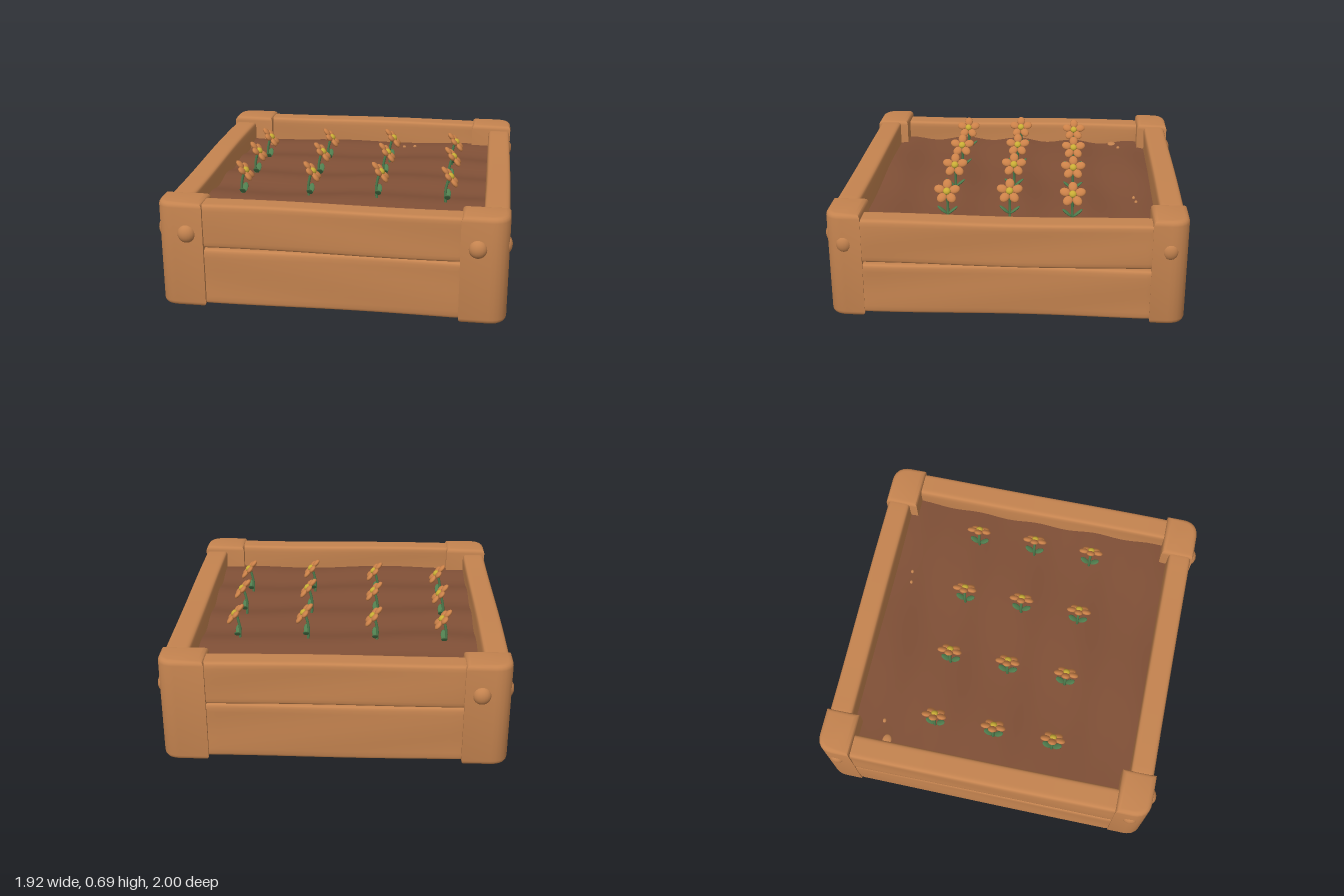
import * as THREE from 'three';
import { mergeVertices, toCreasedNormals } from 'three/addons/utils/BufferGeometryUtils.js';

const mat = (name, color) => Object.assign(new THREE.MeshStandardMaterial({ color }), { name });

// Box whose edges are rounded by radius r and whose faces wander slightly, like hewn timber
function softBlock(w, h, d, r, wobble, seed) {
  let geo = new THREE.BoxGeometry(2, 2, 2, 18, 12, 18);
  geo.deleteAttribute('uv');
  geo.deleteAttribute('normal');
  geo = mergeVertices(geo);
  const half = new THREE.Vector3(w / 2, h / 2, d / 2);
  const inner = half.clone().subScalar(r);
  const p = new THREE.Vector3(), core = new THREE.Vector3();
  const pos = geo.attributes.position;
  for (let i = 0; i < pos.count; i++) {
    p.fromBufferAttribute(pos, i);
    // crowd the grid lines towards the edges
    p.set(Math.sin(p.x * Math.PI / 2), Math.sin(p.y * Math.PI / 2), Math.sin(p.z * Math.PI / 2)).multiply(half);
    core.copy(p).clamp(inner.clone().negate(), inner);
    p.sub(core).setLength(r).add(core);
    const along = w > d ? p.x : p.z;
    p.y += wobble * Math.sin(along * 4.3 + seed);
    if (w > d) p.z += wobble * 0.6 * Math.sin(along * 3 + p.y * 22 + seed);
    else p.x += wobble * 0.6 * Math.sin(along * 3 + p.y * 22 + seed);
    pos.setXYZ(i, p.x, p.y, p.z);
  }
  geo.computeVertexNormals();
  return geo;
}

// Corner post: rounded outline with a broad outer corner, bevelled at both ends
function postGeometry(sx, sz) {
  const b = 0.028;
  const x0 = 0.69 + b, x1 = 0.945 - b, z0 = 0.775 + b, z1 = 0.97 - b, r = 0.07;
  const P = (x, z) => [sx * x, -sz * z];
  const s = new THREE.Shape();
  s.moveTo(...P(x0, z0));
  s.lineTo(...P(x1, z0));
  s.lineTo(...P(x1, z1 - r));
  s.quadraticCurveTo(...P(x1, z1), ...P(x1 - r, z1));
  s.lineTo(...P(x0, z1));
  s.closePath();
  const geo = new THREE.ExtrudeGeometry(s, {
    depth: 0.605 - 2 * b, bevelSize: b, bevelThickness: b, bevelSegments: 4, curveSegments: 6,
  });
  geo.rotateX(-Math.PI / 2).translate(0, b, 0);
  return toCreasedNormals(geo, 0.9);
}

// Bed of earth with shallow ridges across the top and underside
const soilTop = (x, z) => 0.45 + 0.012 * Math.cos(z * 17 + Math.sin(x * 3) * 0.6) + 0.006 * Math.sin(x * 7 + z * 4);
function soilGeometry() {
  let geo = new THREE.BoxGeometry(1.68, 1, 1.7, 24, 1, 40);
  geo.deleteAttribute('uv');
  geo.deleteAttribute('normal');
  geo = mergeVertices(geo);
  const pos = geo.attributes.position;
  for (let i = 0; i < pos.count; i++) {
    const x = pos.getX(i), z = pos.getZ(i);
    const y = pos.getY(i) > 0 ? soilTop(x, z) : 0.026 - 0.01 * Math.cos(z * 15.7) - 0.003 * Math.sin(x * 8);
    pos.setY(i, y);
  }
  return toCreasedNormals(geo, 0.8);
}

export function createModel() {
  const model = new THREE.Group();
  model.name = 'planterBed';
  const wood = mat('wood', 0xc4834f);
  const earth = mat('soil', 0x7f4f36);
  const petalMat = mat('petal', 0xcb8148);
  const yellow = mat('flowerCentre', 0xc9ad35);
  const green = mat('leaf', 0x4f7d4e);

  const add = (parent, name, geo, material, x = 0, y = 0, z = 0) => {
    const m = new THREE.Mesh(geo, material);
    m.name = name;
    m.position.set(x, y, z);
    parent.add(m);
    return m;
  };

  add(model, 'soil', soilGeometry(), earth);

  // Two stacked boards on each of the four sides
  for (const s of [-1, 1]) {
    add(model, 'lowerLongBoard', softBlock(1.44, 0.325, 0.135, 0.024, 0.003, s), wood, 0, 0.18, s * 0.887);
    add(model, 'upperLongBoard', softBlock(1.44, 0.25, 0.135, 0.024, 0.003, s + 2), wood, 0, 0.469, s * 0.887);
    add(model, 'lowerSideBoard', softBlock(0.14, 0.29, 1.6, 0.024, 0.004, s + 1), wood, s * 0.872, 0.172, 0);
    add(model, 'upperSideBoard', softBlock(0.14, 0.25, 1.6, 0.024, 0.004, s + 4), wood, s * 0.872, 0.443, 0);
  }

  // Corner posts with domed pegs (one back peg is missing)
  const dome = new THREE.SphereGeometry(1, 18, 12);
  for (const sx of [-1, 1]) for (const sz of [-1, 1]) {
    add(model, 'cornerPost', postGeometry(sx, sz), wood);
    add(model, 'sidePeg', dome, wood, sx * 0.927, 0.43, sz * 0.87).scale.set(0.032, 0.05, 0.044);
    if (sx < 0 || sz > 0)
      add(model, 'endPeg', dome, wood, sx * 0.78, 0.43, sz * 0.96).scale.set(0.05, 0.052, 0.04);
  }

  // Splinters lying in the corners of the soil
  for (const [x, z, r] of [[-0.77, -0.61, 0.035], [-0.66, -0.65, 0.014], [0.24, -0.71, 0.012], [0.31, -0.72, 0.012]])
    add(model, 'splinter', dome, wood, x, soilTop(x, z), z).scale.set(r, 0.012, r * 0.8);

  // Flowers: stem, two leaves and a head tilted towards +x
  const stemGeo = new THREE.TubeGeometry(new THREE.CatmullRomCurve3([
    new THREE.Vector3(-0.02, -0.19, 0), new THREE.Vector3(-0.025, -0.09, 0), new THREE.Vector3(-0.008, -0.005, 0),
  ]), 8, 0.008, 7);
  const ball = new THREE.SphereGeometry(1, 12, 8);
  const flower = (x, y, z) => {
    const f = new THREE.Group();
    f.name = 'flower';
    f.position.set(x, y, z);
    add(f, 'stem', stemGeo, green);
    for (const s of [-1, 1]) {
      const leaf = add(f, 'leaf', ball, green, -0.012, -0.115, s * 0.03);
      leaf.scale.set(0.018, 0.007, 0.036);
      leaf.rotation.x = -s * 0.7;
    }
    const head = new THREE.Group();
    head.name = 'flowerHead';
    head.rotation.z = -0.85;
    for (let i = 0; i < 5; i++) {
      const a = Math.PI + i * Math.PI * 2 / 5;
      const petal = add(head, 'petal', ball, petalMat, Math.cos(a) * 0.045, 0, Math.sin(a) * 0.045);
      petal.scale.set(0.031, 0.014, 0.026);
      petal.rotation.y = -a;
    }
    add(head, 'flowerCentre', ball, yellow, 0, 0.008, 0).scale.set(0.021, 0.015, 0.021);
    f.add(head);
    model.add(f);
  };
  const colY = [0.605, 0.618, 0.632, 0.622], rowY = [-0.012, 0, -0.01];
  [-0.6, -0.2, 0.2, 0.6].forEach((x, i) =>
    [-0.35, 0, 0.35].forEach((z, j) => flower(x, colY[i] + rowY[j], z)));

  return model;
}
